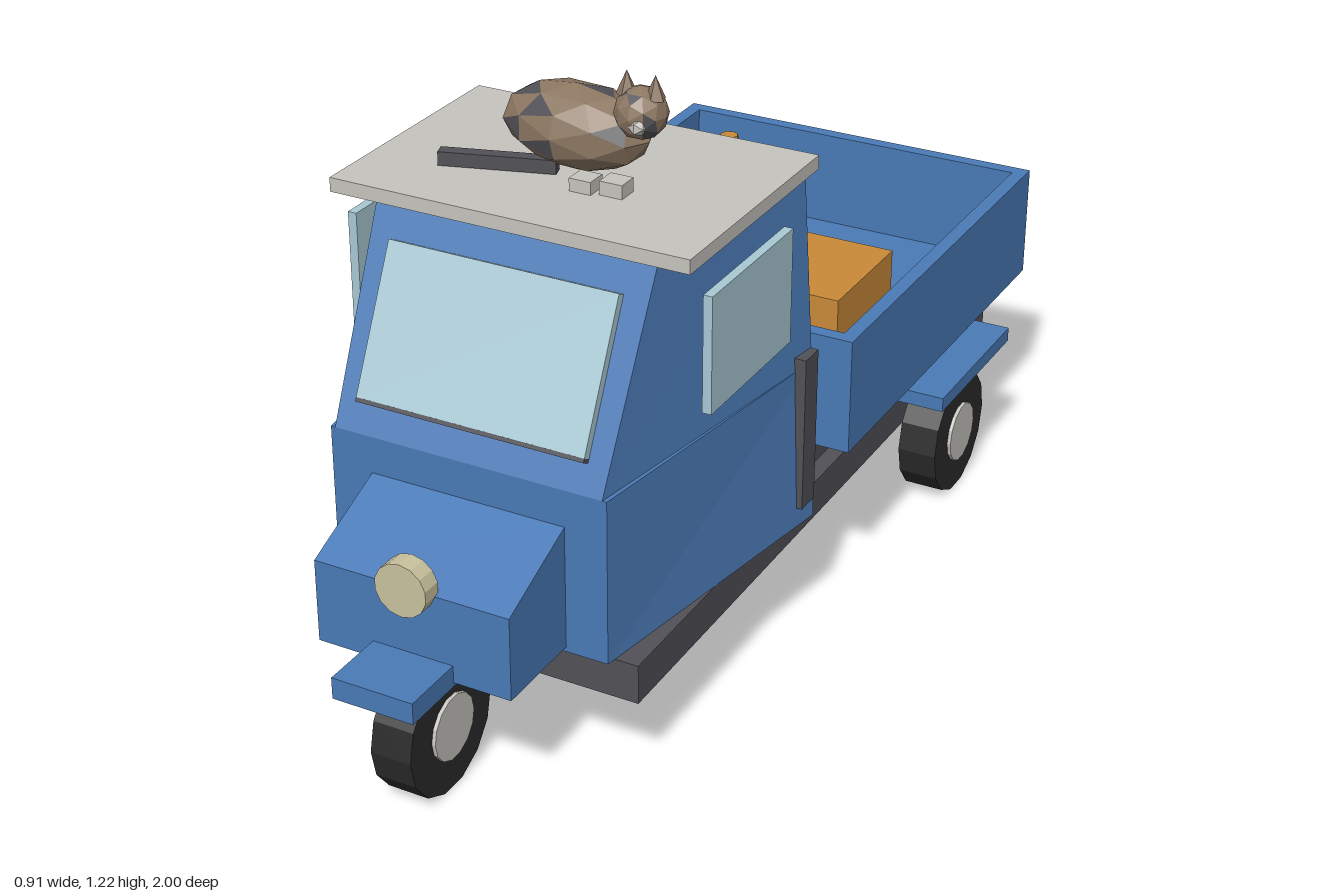
import * as THREE from 'three';

const mat = (name, color, flatShading = false) => {
  const m = new THREE.MeshStandardMaterial({ color, flatShading });
  m.name = name;
  return m;
};

export function createModel() {
  const blue = mat('blue paint', 0x4a7ab6, true);
  const pale = mat('pale grey', 0xc6c4be, true);
  const glass = mat('glass', 0xa9c9d4);
  const steel = mat('dark steel', 0x525157, true);
  const rubber = mat('rubber', 0x2b2b2b, true);
  const lamp = mat('lamp cream', 0xc9c29e, true);
  const orange = mat('orange', 0xc98a38, true);
  const red = mat('tail red', 0xb03432);
  const fur = mat('brown fur', 0x8c7762, true);

  const model = new THREE.Group();
  model.name = 'threeWheeler';

  const add = (name, geometry, material, x = 0, y = 0, z = 0, parent = model) => {
    const m = new THREE.Mesh(geometry, material);
    m.name = name;
    m.position.set(x, y, z);
    parent.add(m);
    return m;
  };
  // Box given by its limits on each axis
  const box = (name, material, [x0, x1], [y0, y1], [z0, z1], parent) =>
    add(name, new THREE.BoxGeometry(x1 - x0, y1 - y0, z1 - z0), material,
      (x0 + x1) / 2, (y0 + y1) / 2, (z0 + z1) / 2, parent);
  // Box with its own half widths and front position at the bottom and the top
  const taperedBox = (name, material, zBack, bottom, top) => {
    const g = new THREE.BoxGeometry(2, 2, 2);
    const p = g.attributes.position;
    for (let i = 0; i < p.count; i++) {
      const s = p.getY(i) > 0 ? top : bottom;
      const front = p.getZ(i) > 0;
      p.setXYZ(i, p.getX(i) * (front ? s.front : s.back), s.y, front ? s.z : zBack);
    }
    g.computeVertexNormals();
    return add(name, g, material);
  };

  // Chassis and bed support
  box('chassis', steel, [-0.335, 0.335], [0.18, 0.26], [-0.97, 0.66]);
  box('bedSupport', steel, [-0.3, 0.3], [0.26, 0.36], [-0.93, -0.1]);

  // Cab, narrower at the front
  taperedBox('cabLower', blue, 0.04,
    { y: 0.26, back: 0.385, front: 0.285, z: 0.68 },
    { y: 0.592, back: 0.372, front: 0.285, z: 0.68 });
  taperedBox('cabUpper', blue, 0.04,
    { y: 0.592, back: 0.372, front: 0.276, z: 0.68 },
    { y: 0.985, back: 0.347, front: 0.287, z: 0.49 });
  box('roof', pale, [-0.365, 0.365], [0.979, 1.007], [0.02, 0.53]);

  // Nose with a sloping top
  const noseShape = new THREE.Shape([[0.66, 0.27], [0.87, 0.27], [0.87, 0.437], [0.68, 0.518], [0.66, 0.518]]
    .map(([z, y]) => new THREE.Vector2(z, y)));
  const nose = new THREE.ExtrudeGeometry(noseShape, { depth: 0.4, bevelEnabled: false });
  nose.translate(0, 0, -0.2).rotateY(-Math.PI / 2);
  add('nose', nose, blue);
  add('headlight', new THREE.CylinderGeometry(0.053, 0.053, 0.04, 14).rotateX(Math.PI / 2), lamp, 0, 0.45, 0.88);
  box('frontFender', blue, [-0.083, 0.083], [0.262, 0.305], [0.69, 1]);

  // Windscreen lying on the sloping front
  const slope = Math.atan2(0.19, 0.393);
  add('windscreen', new THREE.BoxGeometry(0.47, 0.29, 0.02), glass, 0, 0.784, 0.596).rotation.x = -slope;
  const trim = add('windscreenTrim', new THREE.BoxGeometry(0.47, 0.008, 0.022), steel, 0, 0.65, 0.66);
  trim.rotation.x = -slope;

  // Load bed, open at the top
  box('bedFloor', blue, [-0.415, 0.415], [0.36, 0.39], [-0.99, -0.05]);
  box('bedFrontWall', blue, [-0.415, 0.415], [0.36, 0.602], [-0.08, -0.05]);
  box('bedTailgate', blue, [-0.415, 0.415], [0.36, 0.602], [-0.99, -0.96]);

  // Load
  box('crate', orange, [0.03, 0.29], [0.39, 0.57], [-0.53, -0.26]);
  add('trafficCone', new THREE.CylinderGeometry(0.02, 0.085, 0.27, 8), orange, -0.195, 0.525, -0.735);

  // Tyre with a hub showing on both sides
  const wheel = (name, x, z) => {
    const g = new THREE.Group();
    g.name = name;
    g.position.set(x, 0.134, z);
    add('tyre', new THREE.CylinderGeometry(0.134, 0.134, 0.083, 14).rotateZ(Math.PI / 2), rubber, 0, 0, 0, g);
    add('hub', new THREE.CylinderGeometry(0.065, 0.065, 0.098, 14).rotateZ(Math.PI / 2), pale, 0, 0, 0, g);
    model.add(g);
  };
  wheel('frontWheel', 0, 0.82);

  // Paired parts
  for (const [side, s] of [['left', 1], ['right', -1]]) {
    const span = (a, b) => (s > 0 ? [a, b] : [-b, -a]);
    wheel(side + 'RearWheel', s * 0.384, -0.62);
    box(side + 'RearFender', blue, span(0.313, 0.455), [0.274, 0.305], [-0.81, -0.44]);
    box(side + 'BedWall', blue, span(0.385, 0.415), [0.36, 0.602], [-0.99, -0.05]);
    box(side + 'SideWindow', glass, span(0.357, 0.375), [0.682, 0.912], [0.145, 0.465]);
    box(side + 'DoorPost', steel, span(0.36, 0.386), [0.3, 0.622], [0.042, 0.096]);
    box(side + 'TailLight', red, span(0.29, 0.355), [0.418, 0.462], [-1, -0.985]);
  }

  // Patchy cat lying on the roof
  const cat = new THREE.Group();
  cat.name = 'cat';
  model.add(cat);
  let seed = 11;
  const random = () => (seed = (seed * 16807) % 2147483647) / 2147483647;
  const patchy = (radius, detail, share) => {
    const g = new THREE.IcosahedronGeometry(radius, detail);
    for (let i = 0; i < g.attributes.position.count; i += 3) g.addGroup(i, 3, random() < share ? 1 : 0);
    return g;
  };
  const body = add('catBody', patchy(1, 1, 0.28), [fur, steel], 0, 1.087, 0.27, cat);
  body.scale.set(0.155, 0.08, 0.09);
  body.rotation.y = -0.08;
  add('catHead', patchy(0.05, 1, 0.12), [fur, steel], 0.15, 1.152, 0.305, cat);
  add('catMuzzle', new THREE.IcosahedronGeometry(0.018, 0), pale, 0.163, 1.14, 0.342, cat);
  for (const x of [0.121, 0.178]) add('catEar', new THREE.ConeGeometry(0.02, 0.045, 5), fur, x, 1.204, 0.305, cat);
  box('catPaw', pale, [0.043, 0.087], [1.005, 1.032], [0.335, 0.378], cat);
  box('catPaw', pale, [0.099, 0.145], [1.005, 1.034], [0.325, 0.368], cat);
  add('catTail', new THREE.BoxGeometry(0.22, 0.027, 0.026), steel, -0.12, 1.022, 0.35, cat).rotation.y = 0.3;

  return model;
}
